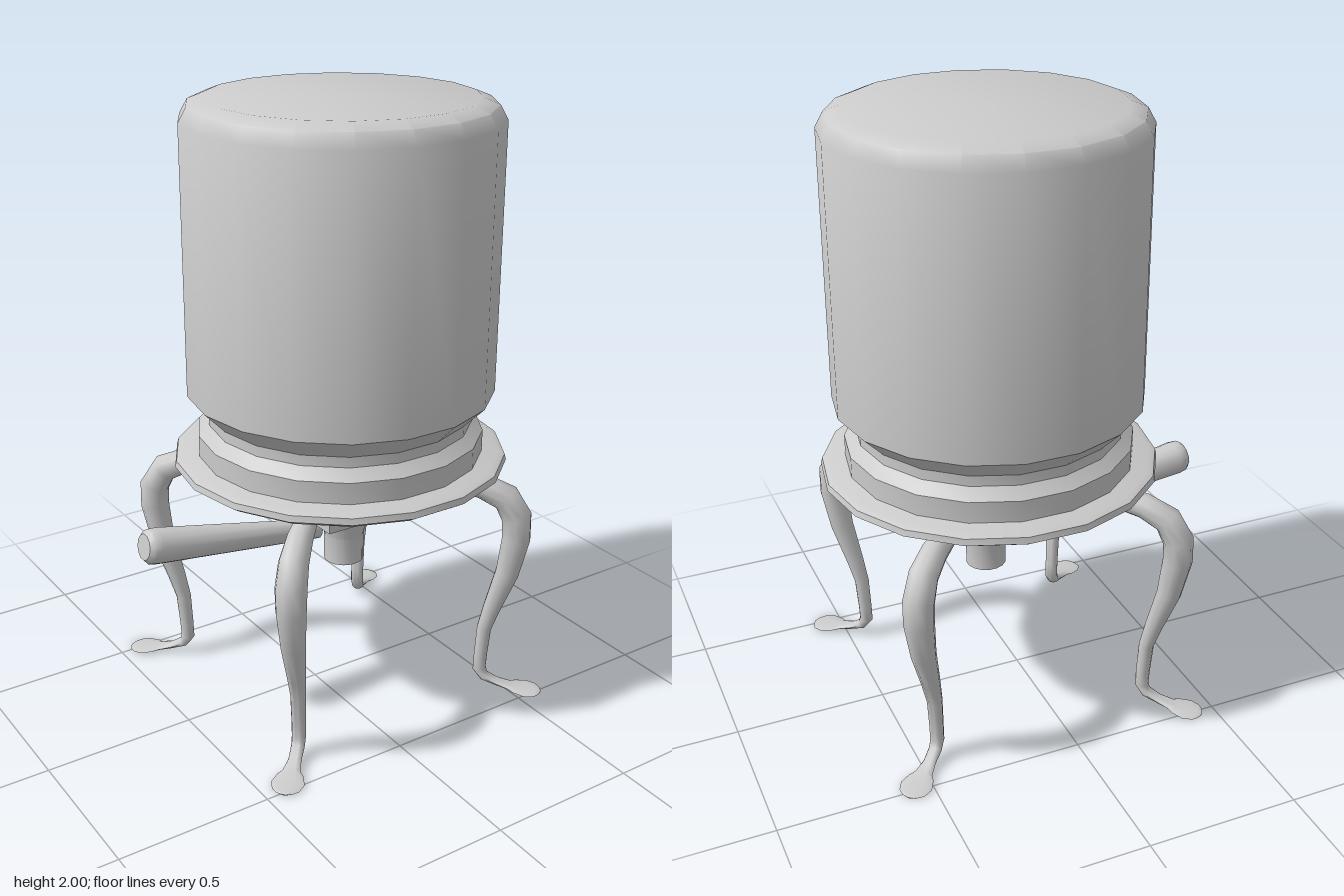
import * as THREE from 'three';
import { toCreasedNormals } from 'three/addons/utils/BufferGeometryUtils.js';

const material = new THREE.MeshStandardMaterial({ color: 0xcccccc });

// Turned part from [radius, height] pairs, listed bottom to top
function turned(profile, sides, crease = 0.7) {
  const points = profile.map(([r, y]) => new THREE.Vector2(r, y));
  return toCreasedNormals(new THREE.LatheGeometry(points, sides, Math.PI / sides), crease);
}

// Sweep of elliptical sections [distance out, height, half width, half thickness] in the x-y plane
function sweep(sections, sides) {
  const pos = [], index = [];
  sections.forEach(([x, y, w, t = w], i) => {
    const a = sections[Math.max(i - 1, 0)], b = sections[Math.min(i + 1, sections.length - 1)];
    const T = new THREE.Vector2(b[0] - a[0], b[1] - a[1]).normalize();
    for (let j = 0; j < sides; j++) {
      const ang = (j / sides) * Math.PI * 2, s = Math.sin(ang) * t;
      pos.push(x + T.y * s, Math.max(0, y - T.x * s), Math.cos(ang) * w);
      const k = (j + 1) % sides, p = i * sides;
      if (i < sections.length - 1) {
        index.push(p + j, p + k, p + sides + j, p + k, p + sides + k, p + sides + j);
      }
    }
  });
  // end caps
  const last = (sections.length - 1) * sides;
  for (let j = 1; j < sides - 1; j++) {
    index.push(0, j + 1, j, last, last + j, last + j + 1);
  }
  const g = new THREE.BufferGeometry();
  g.setAttribute('position', new THREE.Float32BufferAttribute(pos, 3));
  g.setIndex(index);
  return toCreasedNormals(g, 0.9);
}

export function createModel() {
  const model = new THREE.Group();
  const add = (name, geometry, x = 0, y = 0, z = 0) => {
    const mesh = new THREE.Mesh(geometry, material);
    mesh.name = name;
    mesh.position.set(x, y, z);
    model.add(mesh);
    return mesh;
  };

  // Tank with a bevelled top and a stepped neck
  add('tank', turned([
    [0, 0.85], [0.467, 0.85], [0.467, 0.93], [0.432, 0.965], [0.432, 1.0],
    [0.5, 1.07], [0.5, 1.935], [0.475, 1.98], [0.425, 2.0], [0, 2.0],
  ], 18), 0.097);

  // Flange under the tank
  add('basePlate', turned([
    [0, 0.81], [0.515, 0.81], [0.547, 0.83], [0.542, 0.85], [0.52, 0.86], [0, 0.86],
  ], 18), 0.097);

  // Valve block and spout
  add('valveBlock', new THREE.BoxGeometry(0.333, 0.18, 0.31), 0.117, 0.722, 0.006);
  add('spout', turned([
    [0, 0.44], [0.067, 0.44], [0.067, 0.535], [0.098, 0.635], [0, 0.635],
  ], 16, 0.45), 0.11, 0, 0.01);

  // Tapered side handle
  const handle = add('handle', turned([
    [0, 0], [0.033, 0], [0.058, 0.61], [0.055, 0.635], [0.042, 0.65], [0, 0.65],
  ], 12), 0.003, 0.575, 0.01);
  handle.rotation.z = THREE.MathUtils.degToRad(80);

  // Four curved legs, each ending in a flat round foot
  const leg = sweep([
    [0.27, 0.782, 0.02], [0.31, 0.78, 0.027], [0.40, 0.77, 0.036], [0.50, 0.757, 0.042],
    [0.58, 0.722, 0.047], [0.618, 0.655, 0.05], [0.62, 0.58, 0.048], [0.597, 0.45, 0.04],
    [0.552, 0.31, 0.03], [0.53, 0.23, 0.025], [0.522, 0.12, 0.023], [0.52, 0.07, 0.023],
    [0.537, 0.042, 0.022, 0.017], [0.58, 0.024, 0.021, 0.011], [0.625, 0.013, 0.029, 0.007],
    [0.643, 0.01, 0.042, 0.006], [0.68, 0.006, 0.053, 0.005], [0.712, 0.004, 0.043, 0.004],
    [0.727, 0.003, 0.025, 0.003], [0.733, 0.002, 0.006, 0.002],
  ], 10);
  ['leftBackLeg', 'rightBackLeg', 'rightFrontLeg', 'leftFrontLeg'].forEach((name, i) => {
    add(name, leg, 0.07, 0, -0.006).rotation.y = Math.PI / 4 + (i * Math.PI) / 2;
  });

  return model;
}
